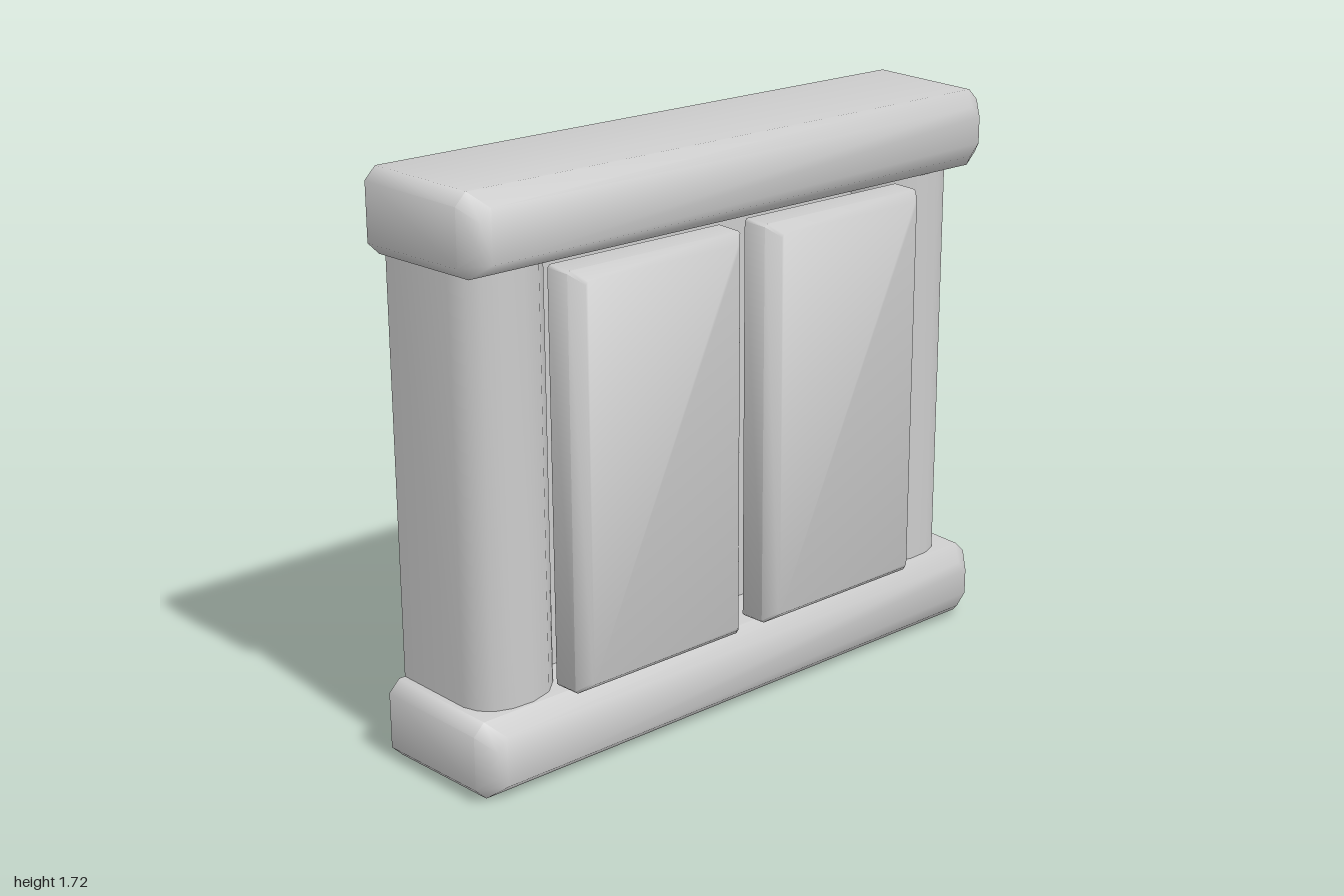
import * as THREE from 'three';
import { toCreasedNormals } from 'three/addons/utils/BufferGeometryUtils.js';

const material = new THREE.MeshStandardMaterial({ color: 0xcccccc, side: THREE.DoubleSide });

function addMesh(group, name, geometry) {
  const mesh = new THREE.Mesh(geometry, material);
  mesh.name = name;
  group.add(mesh);
  return mesh;
}

function surface(positions, index) {
  const geometry = new THREE.BufferGeometry();
  geometry.setAttribute('position', new THREE.Float32BufferAttribute(positions, 3));
  geometry.setIndex(index);
  return toCreasedNormals(geometry, 1);
}

// Open-backed shell: a rectangle with cut corners, swept from back to front
// through [z, side inset, top and bottom inset] rings, closed by a flat front.
function shell(x0, x1, y0, y1, c, rings) {
  const positions = [], index = [];
  const n = 8;
  for (const [z, insetX, insetY] of rings) {
    const l = x0 + insetX, r = x1 - insetX, b = y0 + insetY, t = y1 - insetY;
    for (const [x, y] of [
      [l + c, b], [r - c, b], [r, b + c], [r, t - c],
      [r - c, t], [l + c, t], [l, t - c], [l, b + c],
    ]) positions.push(x, y, z);
  }
  for (let k = 0; k < rings.length - 1; k++) {
    for (let i = 0; i < n; i++) {
      const a = k * n + i, b = k * n + (i + 1) % n;
      index.push(a, b, b + n, a, b + n, a + n);
    }
  }
  const front = (rings.length - 1) * n;
  for (let i = 1; i < n - 1; i++) index.push(front, front + i, front + i + 1);
  return surface(positions, index);
}

// Upright strip that follows an open [x, z] outline.
function upright(outline, y0, y1) {
  const positions = [], index = [];
  outline.forEach(([x, z], i) => {
    positions.push(x, y0, z, x, y1, z);
    if (i) {
      const a = 2 * i - 2;
      index.push(a, a + 1, a + 3, a, a + 3, a + 2);
    }
  });
  return surface(positions, index);
}

export function createModel() {
  const model = new THREE.Group();
  model.name = 'cabinet';
  const back = -0.235;

  // Thick chamfered slabs at the top and bottom, hollow behind
  const slabRings = [[back, 0, 0], [0.14, 0.014, 0.004], [0.19, 0.055, 0.045]];
  addMesh(model, 'topSlab', shell(-1, 0.985, 1.48, 1.72, 0.035, slabRings));
  addMesh(model, 'bottomSlab', shell(-1, 1, 0, 0.24, 0.035, slabRings));

  // Hollow side posts with rounded fronts, reaching into both slabs
  const outline = [
    [0.935, back], [0.928, 0.03], [0.912, 0.075], [0.88, 0.108], [0.83, 0.127],
    [0.76, 0.13], [0.69, 0.11], [0.64, 0.065], [0.61, 0], [0.61, back],
  ];
  for (const [name, side] of [['leftPost', 1], ['rightPost', -1]]) {
    const points = outline.map(([x, z]) => [side * x - 0.01, z]);
    if (side < 0) points.reverse();
    addMesh(model, name, upright(points, 0.1, 1.64));
  }

  // Thin panel between the posts
  const panel = addMesh(model, 'backPanel', new THREE.PlaneGeometry(1.22, 1.54));
  panel.position.set(-0.01, 0.87, -0.02);

  // Pair of doors with bevelled fronts
  const doorRings = [[0.12, 0, 0], [0.2, 0.002, 0.002], [0.235, 0.035, 0.03]];
  addMesh(model, 'rightDoor', shell(-0.68, -0.06, 0.25, 1.47, 0.008, doorRings));
  addMesh(model, 'leftDoor', shell(0.03, 0.65, 0.25, 1.47, 0.008, doorRings));

  return model;
}
